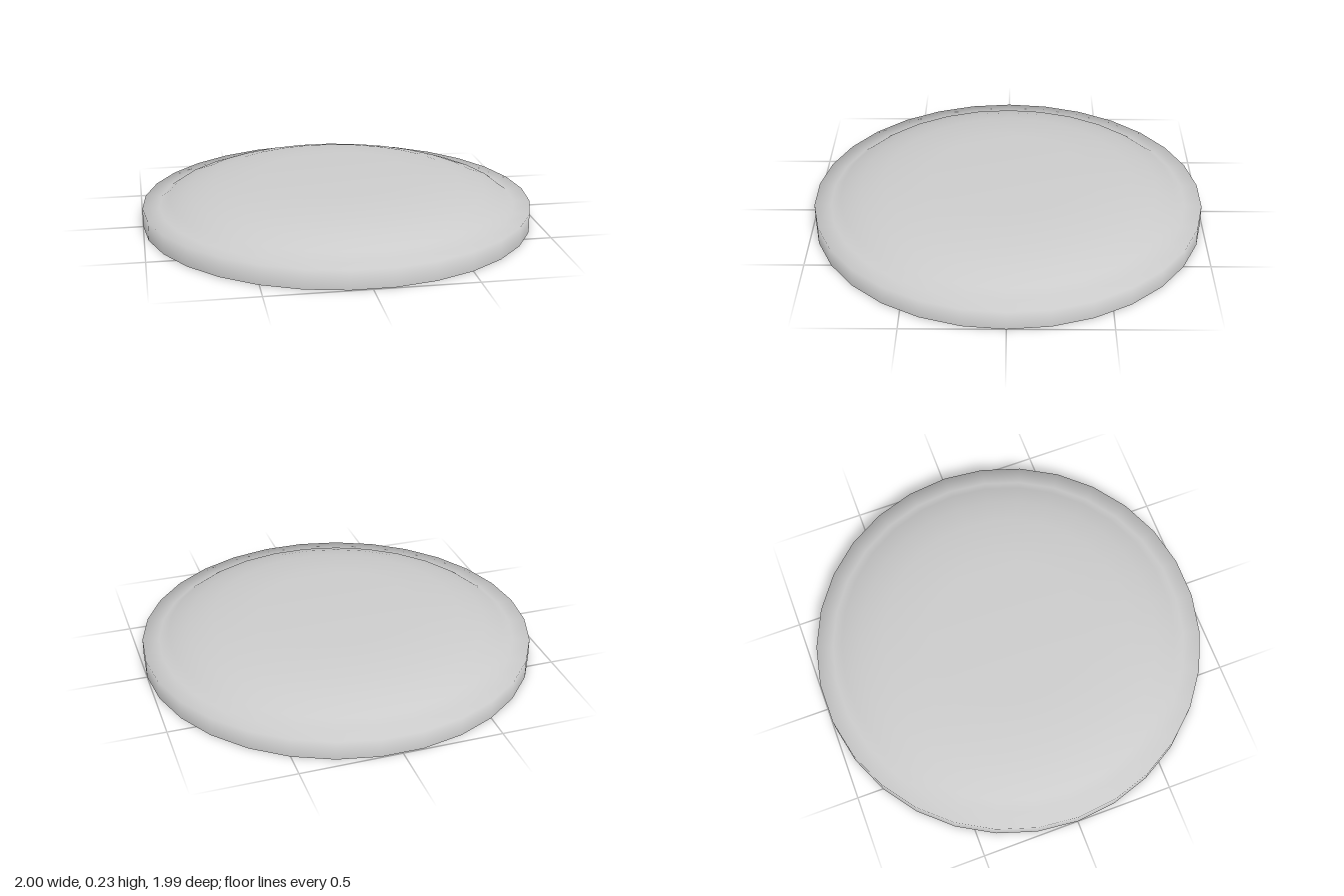
import * as THREE from 'three';

export function createModel() {
  const group = new THREE.Group();
  group.name = 'domedLid';

  // Open-bottomed shell: straight rim, narrow flat ledge, shallow dome, flat top
  const profile = [
    [1, 0], [1, 0.097], [0.915, 0.097], [0.865, 0.132],
    [0.765, 0.17], [0.64, 0.202], [0.4, 0.232], [0, 0.232],
  ].map(([r, y]) => new THREE.Vector2(r, y));

  const shell = new THREE.Mesh(
    new THREE.LatheGeometry(profile, 30, Math.PI / 2),
    new THREE.MeshStandardMaterial({ color: 0xcccccc, side: THREE.DoubleSide }),
  );
  shell.name = 'lidShell';
  group.add(shell);

  return group;
}
